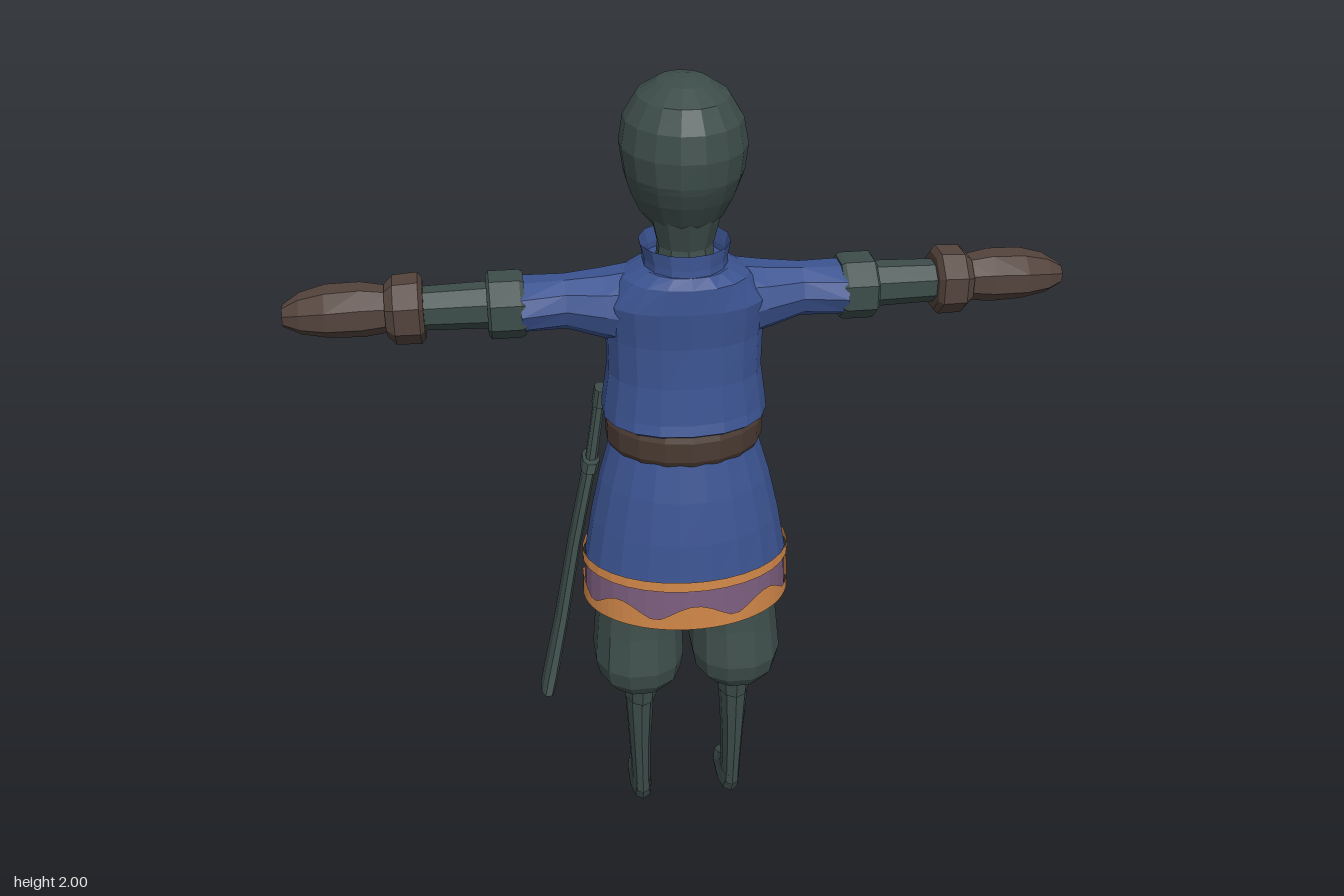
import * as THREE from 'three';

const makeMaterial = (name, color, side = THREE.FrontSide) => {
  const m = new THREE.MeshStandardMaterial({ color, flatShading: true, side });
  m.name = name;
  return m;
};

// Loft through elliptical rings [t, a0, a1, b0, b1], listed in rising t.
// axis 'y': t = y, a = x range, b = z range. axis 'x': t = x, a = y range, b = z range.
function loft(rings, { segs = 10, axis = 'y', caps = true, wave = null, square = 1 } = {}) {
  const pos = [], idx = [];
  const put = (t, a, b) => (axis === 'y' ? pos.push(a, t, b) : pos.push(t, a, b));
  const flip = axis === 'y' ? 1 : -1;
  const round = (v) => Math.sign(v) * Math.abs(v) ** square;
  rings.forEach(([t, a0, a1, b0, b1], r) => {
    for (let i = 0; i < segs; i++) {
      const th = ((i + 0.5) / segs) * Math.PI * 2;
      const dt = wave && r === rings.length - 1 ? wave(th) : 0;
      put(t + dt, (a0 + a1) / 2 + ((a1 - a0) / 2) * round(Math.cos(th)),
        (b0 + b1) / 2 + flip * ((b1 - b0) / 2) * round(Math.sin(th)));
    }
  });
  for (let r = 0; r < rings.length - 1; r++) {
    for (let i = 0; i < segs; i++) {
      const j = (i + 1) % segs, p = r * segs, q = p + segs;
      idx.push(p + i, q + i, p + j, p + j, q + i, q + j);
    }
  }
  if (caps) {
    [0, rings.length - 1].forEach((r) => {
      const [t, a0, a1, b0, b1] = rings[r];
      const c = pos.length / 3;
      put(t, (a0 + a1) / 2, (b0 + b1) / 2);
      for (let i = 0; i < segs; i++) {
        const p = r * segs + i, n = r * segs + ((i + 1) % segs);
        if (r === 0) idx.push(c, p, n);
        else idx.push(c, n, p);
      }
    });
  }
  const g = new THREE.BufferGeometry();
  g.setAttribute('position', new THREE.Float32BufferAttribute(pos, 3));
  g.setIndex(idx);
  g.computeVertexNormals();
  return g;
}

export function createModel() {
  const model = new THREE.Group();
  model.name = 'swordsman';
  const green = makeMaterial('darkGreen', 0x3d4d4a);
  const blue = makeMaterial('blueCloth', 0x3b5390, THREE.DoubleSide);
  const glove = makeMaterial('gloveBrown', 0x53433c);
  const leather = makeMaterial('beltBrown', 0x4a3a32);
  const orange = makeMaterial('orangeTrim', 0xcf8648, THREE.DoubleSide);
  const purple = makeMaterial('purpleTrim', 0x7a5c7c, THREE.DoubleSide);

  const add = (parent, name, geometry, material) => {
    const mesh = new THREE.Mesh(geometry, material);
    mesh.name = name;
    parent.add(mesh);
    return mesh;
  };
  // Rings symmetric in x: [y, halfWidth, zFront, zBack]
  const sym = (rows) => rows.map(([y, w, z0, z1]) => [y, -w, w, z0, z1]);

  // Head and neck, facing -z, with a step at the mask edge
  add(model, 'head', loft(sym([
    [1.635, 0.035, -0.165, -0.02], [1.65, 0.07, -0.18, 0.055], [1.69, 0.102, -0.198, 0.09],
    [1.74, 0.125, -0.205, 0.12], [1.775, 0.136, -0.204, 0.135], [1.792, 0.139, -0.186, 0.14],
    [1.85, 0.147, -0.2, 0.146], [1.91, 0.136, -0.196, 0.136], [1.96, 0.105, -0.165, 0.105],
    [1.99, 0.06, -0.105, 0.05], [2.0, 0.02, -0.05, 0.0],
  ]), { segs: 16 }), green);
  add(model, 'neck', loft(sym([[1.54, 0.075, -0.07, 0.08], [1.62, 0.066, -0.065, 0.068],
    [1.7, 0.085, -0.08, 0.09]])), green);

  // Tunic top and standing collar
  add(model, 'tunic', loft(sym([
    [1.165, 0.17, -0.16, 0.12], [1.185, 0.202, -0.195, 0.146], [1.21, 0.2, -0.19, 0.138],
    [1.3, 0.187, -0.172, 0.126], [1.4, 0.188, -0.154, 0.122], [1.49, 0.195, -0.142, 0.13],
    [1.55, 0.15, -0.128, 0.128], [1.575, 0.104, -0.115, 0.115],
  ]), { segs: 18, square: 0.9 }), blue);
  add(model, 'collar', loft(sym([[1.55, 0.1, -0.12, 0.118], [1.59, 0.1, -0.12, 0.112],
    [1.625, 0.108, -0.125, 0.11]]), { segs: 14, caps: false }), blue);

  // Belt with buckle
  add(model, 'belt', loft(sym([
    [1.1, 0.186, -0.182, 0.138], [1.115, 0.194, -0.192, 0.146],
    [1.165, 0.195, -0.192, 0.146], [1.18, 0.188, -0.184, 0.14],
  ]), { segs: 18 }), leather);
  add(model, 'buckle', new THREE.BoxGeometry(0.08, 0.075, 0.025), green).position.set(0, 1.13, -0.193);

  // Skirt and its bands
  add(model, 'skirt', loft(sym([
    [0.79, 0.257, -0.193, 0.194], [0.9, 0.238, -0.192, 0.182],
    [1.01, 0.213, -0.186, 0.162], [1.11, 0.183, -0.178, 0.136],
  ]), { segs: 20, caps: false }), blue);
  add(model, 'skirtTopBand', loft(sym([[0.782, 0.264, -0.199, 0.201], [0.808, 0.262, -0.197, 0.199]]),
    { segs: 32, caps: false }), orange);
  add(model, 'skirtPurpleBand', loft(sym([[0.68, 0.26, -0.198, 0.204], [0.79, 0.256, -0.193, 0.195]]),
    { segs: 32, caps: false }), purple);
  add(model, 'skirtScallopedHem', loft(sym([[0.675, 0.265, -0.202, 0.209], [0.7, 0.264, -0.201, 0.207]]),
    { segs: 64, caps: false, wave: (a) => 0.042 * Math.abs(Math.cos(a * 4)) ** 1.5 }), orange);

  // Arms and legs, mirrored
  [1, -1].forEach((s) => {
    const side = s > 0 ? 'left' : 'right';
    const arm = new THREE.Group();
    arm.name = side + 'Arm';
    arm.scale.x = s;
    model.add(arm);
    const x = { axis: 'x', segs: 8 };
    add(arm, 'sleeve', loft([
      [0.08, 1.34, 1.57, -0.125, 0.09], [0.19, 1.385, 1.55, -0.118, 0.065],
      [0.28, 1.412, 1.54, -0.1, 0.04], [0.385, 1.41, 1.537, -0.125, 0.055],
    ], { axis: 'x', segs: 10 }), blue);
    add(arm, 'sleeveCuff', loft([
      [0.375, 1.4, 1.545, -0.125, 0.05], [0.385, 1.395, 1.55, -0.13, 0.055],
      [0.455, 1.395, 1.55, -0.13, 0.055], [0.462, 1.405, 1.54, -0.12, 0.045],
    ], x), green);
    add(arm, 'forearm', loft([[0.44, 1.42, 1.53, -0.095, 0.025], [0.63, 1.425, 1.525, -0.09, 0.02]], x), green);
    add(arm, 'gloveCuff', loft([
      [0.607, 1.405, 1.545, -0.11, 0.04], [0.617, 1.395, 1.56, -0.12, 0.055],
      [0.675, 1.395, 1.555, -0.12, 0.05], [0.695, 1.415, 1.535, -0.1, 0.03],
    ], x), glove);
    add(arm, 'hand', loft([
      [0.68, 1.425, 1.53, -0.095, 0.02], [0.75, 1.415, 1.54, -0.115, 0.03],
      [0.83, 1.42, 1.537, -0.122, 0.036], [0.89, 1.428, 1.52, -0.11, 0.015],
      [0.93, 1.445, 1.495, -0.08, -0.015],
    ], x), glove);
    add(arm, 'thumb', loft([
      [0.73, 1.42, 1.47, -0.1, -0.05], [0.79, 1.395, 1.445, -0.115, -0.055],
      [0.84, 1.395, 1.435, -0.11, -0.06], [0.87, 1.405, 1.425, -0.095, -0.07],
    ], { axis: 'x', segs: 6 }), glove);

    const leg = new THREE.Group();
    leg.name = side + 'Leg';
    leg.scale.x = s;
    model.add(leg);
    add(leg, 'baggyTrousers', loft([
      [0.405, 0.075, 0.175, -0.06, 0.1], [0.425, 0.045, 0.21, -0.09, 0.13],
      [0.455, 0.018, 0.235, -0.112, 0.15], [0.5, 0.01, 0.245, -0.12, 0.158],
      [0.6, 0.012, 0.236, -0.126, 0.14], [0.72, 0.008, 0.222, -0.125, 0.125],
    ], { segs: 12, square: 0.85 }), green);
    add(leg, 'bootCuff', loft([
      [0.362, 0.082, 0.168, -0.045, 0.098], [0.41, 0.078, 0.172, -0.05, 0.103],
    ]), green);
    add(leg, 'shin', loft([
      [0.035, 0.098, 0.15, -0.055, 0.066], [0.08, 0.1, 0.15, -0.04, 0.068],
      [0.2, 0.098, 0.156, -0.042, 0.076], [0.37, 0.088, 0.166, -0.042, 0.088],
    ], { square: 0.85 }), green);
    add(leg, 'foot', loft([
      [0, 0.093, 0.153, -0.143, 0.05], [0.012, 0.092, 0.154, -0.14, 0.055],
      [0.035, 0.096, 0.152, -0.09, 0.064], [0.065, 0.099, 0.15, -0.045, 0.067],
    ], { square: 0.8 }), green);
  });

  // Curved sheathed sword hanging at the right hip
  const sword = new THREE.Group();
  sword.name = 'sword';
  model.add(sword);
  const blade = { segs: 8, square: 0.8 };
  add(sword, 'sheath', loft([
    [0.4, -0.388, -0.352, -0.02, 0.075], [0.45, -0.376, -0.338, -0.03, 0.06],
    [0.6, -0.338, -0.304, -0.06, 0.025], [0.8, -0.296, -0.264, -0.09, -0.01],
    [1.0, -0.25, -0.218, -0.11, -0.04],
  ], blade), green);
  add(sword, 'guard', loft([
    [1.0, -0.256, -0.212, -0.125, -0.03], [1.025, -0.25, -0.206, -0.128, -0.035],
  ], blade), green);
  add(sword, 'grip', loft([
    [1.02, -0.242, -0.212, -0.105, -0.06], [1.17, -0.216, -0.188, -0.12, -0.075],
  ], blade), green);
  add(sword, 'pommel', loft([
    [1.165, -0.22, -0.184, -0.13, -0.068], [1.21, -0.212, -0.18, -0.128, -0.07],
  ], blade), green);
  return model;
}
